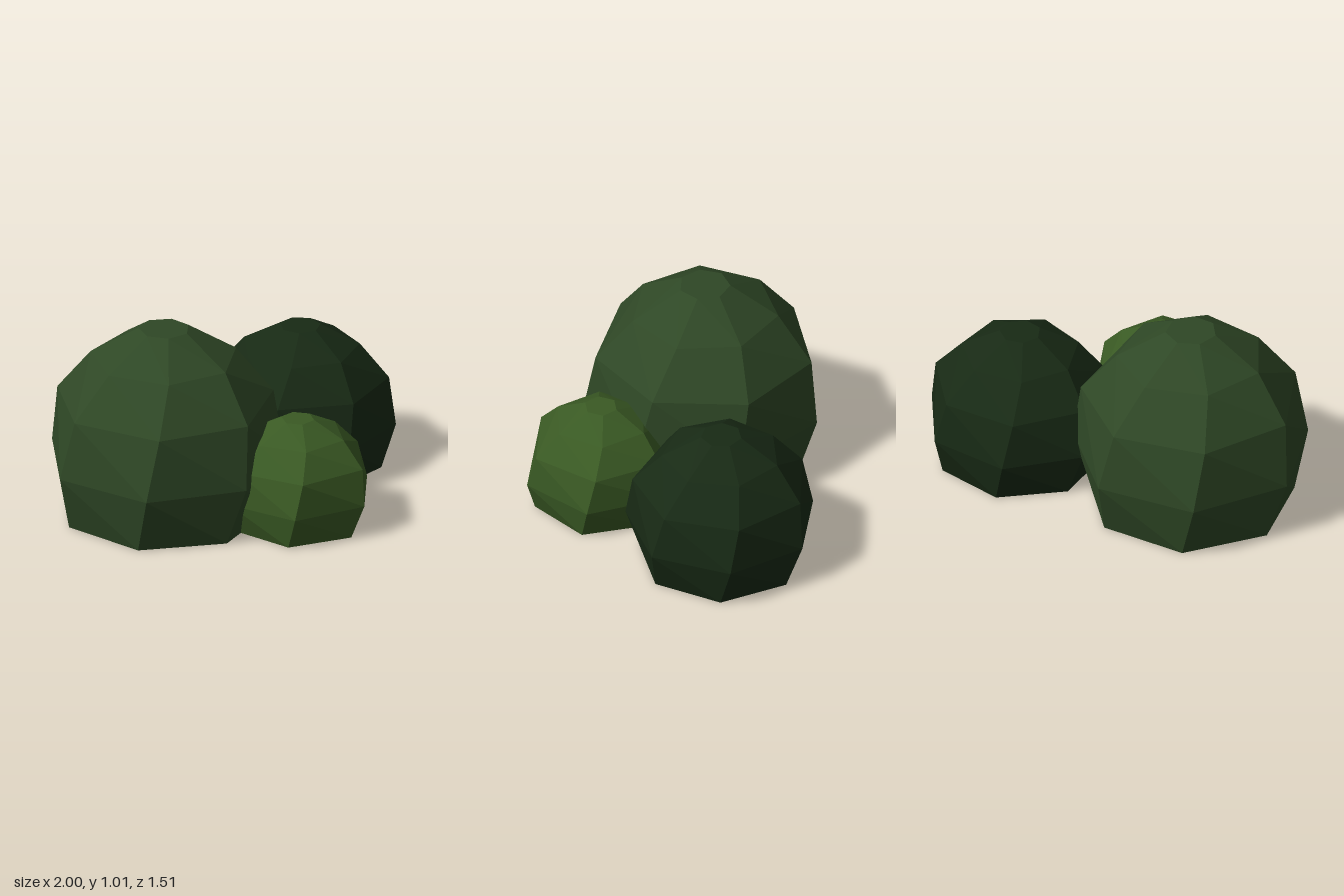
import * as THREE from 'three';

// Dome profile as fractions of the widest radius and of the height
const PROFILE = [[0, 0], [0.865, 0], [1, 0.3], [0.92, 0.62], [0.62, 0.85], [0.215, 1], [0, 1]];
const TWIST = THREE.MathUtils.degToRad(6);

// Low-poly leafy dome whose rings turn slightly from one to the next
function bush({ name, color, x, z, radius, height, sides, angle }) {
  const points = PROFILE.map(([r, y]) => new THREE.Vector2(r * radius, y * height));
  const start = THREE.MathUtils.degToRad(90 - angle);
  const geometry = new THREE.LatheGeometry(points, sides, start);
  const pos = geometry.attributes.position;
  const v = new THREE.Vector3();
  const up = new THREE.Vector3(0, 1, 0);
  for (let i = 0; i < pos.count; i++) {
    const ring = i % PROFILE.length;
    v.fromBufferAttribute(pos, i).applyAxisAngle(up, (ring - 2) * TWIST);
    pos.setXYZ(i, v.x, v.y, v.z);
  }
  geometry.computeVertexNormals();
  const mesh = new THREE.Mesh(geometry, new THREE.MeshStandardMaterial({ color, flatShading: true }));
  mesh.name = name;
  mesh.position.set(x, 0, z);
  return mesh;
}

export function createModel() {
  const group = new THREE.Group();
  group.name = 'bushCluster';
  group.add(
    bush({ name: 'largeBush', color: 0x2f4826, x: -0.385, z: -0.03, radius: 0.615, height: 1.01, sides: 7, angle: 177 }),
    bush({ name: 'darkBush', color: 0x182a15, x: 0.53, z: -0.3, radius: 0.493, height: 0.745, sides: 7, angle: 34.7 }),
    bush({ name: 'smallBush', color: 0x3a5a24, x: 0.16, z: 0.4, radius: 0.4, height: 0.57, sides: 6, angle: -1 }),
  );
  return group;
}
